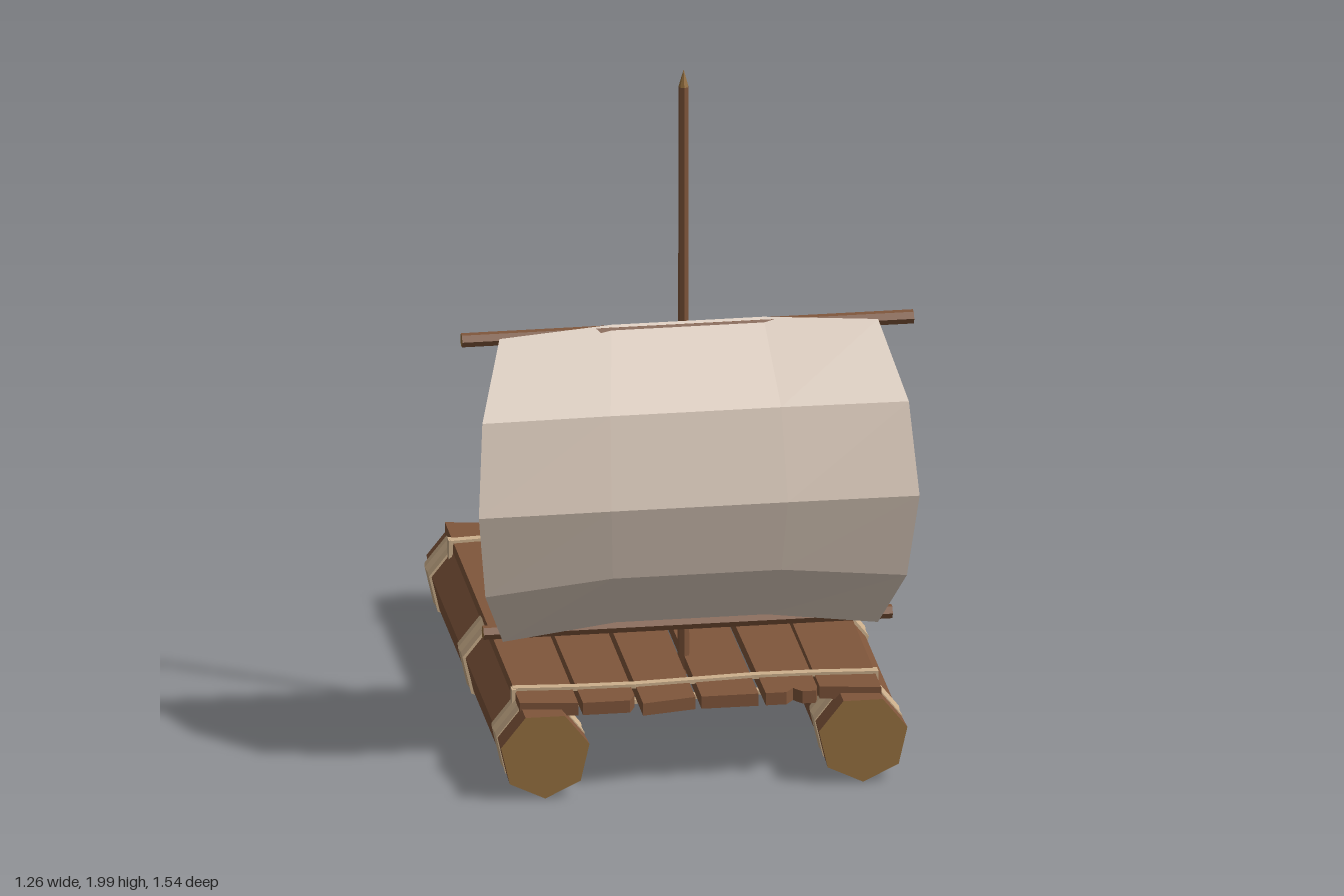
import * as THREE from 'three';

const mat = (name, color, extra = {}) => {
  const m = new THREE.MeshStandardMaterial({ color, flatShading: true, ...extra });
  m.name = name;
  return m;
};

export function createModel() {
  const raft = new THREE.Group();
  raft.name = 'raft';
  const wood = mat('wood', 0x80563b);
  const cutWood = mat('cutWood', 0x96703f);
  const rope = mat('rope', 0xcdb08c);
  const cloth = mat('sailCloth', 0xdccbbc, { side: THREE.DoubleSide });

  const add = (name, geo, material, x = 0, y = 0, z = 0, parent = raft) => {
    const mesh = new THREE.Mesh(geo, material);
    mesh.name = name;
    mesh.position.set(x, y, z);
    parent.add(mesh);
    return mesh;
  };

  // Seven-sided floating logs, flared at the front and narrowed at the back
  const rings = [[0.77, 0.127], [0.56, 0.119], [-0.62, 0.117], [-0.77, 0.104]];
  const logGeo = new THREE.CylinderGeometry(1, 1, 3, 7, 3).rotateX(Math.PI / 2);
  const lp = logGeo.attributes.position;
  for (let i = 0; i < lp.count; i++) {
    const [z, r] = rings[Math.round(1.5 - lp.getZ(i))];
    lp.setXYZ(i, lp.getX(i) * r, lp.getY(i) * r, z);
  }

  // Rope wraps around the logs
  const wrapProfile = [[0.1, -0.063], [0.123, -0.06], [0.128, -0.02], [0.125, 0.015], [0.127, 0.058], [0.1, 0.06]];
  const wrapGeo = new THREE.LatheGeometry(wrapProfile.map(([r, y]) => new THREE.Vector2(r, y)), 7)
    .rotateX(Math.PI / 2);

  for (const [side, x] of [['left', 0.435], ['right', -0.455]]) {
    const log = new THREE.Group();
    log.name = side + 'Log';
    log.position.set(x, 0.138, 0);
    raft.add(log);
    add('logBody', logGeo, [wood, cutWood, cutWood], 0, 0, 0, log);
    [0.625, -0.007, -0.645].forEach((z) => {
      const wrap = add('logWrap', wrapGeo, rope, 0, 0, z, log);
      if (z < -0.5) wrap.scale.set(0.98, 0.97, 0.95);
    });
  }

  // Deck planks as [x, z] outlines with roughly cut ends
  const planks = [
    [[-0.51, -0.735], [-0.35, -0.705], [-0.355, 0.72], [-0.515, 0.695]],
    [[-0.343, -0.735], [-0.188, -0.735], [-0.192, 0.68], [-0.21, 0.72], [-0.342, 0.72]],
    [[-0.178, -0.765], [-0.024, -0.735], [-0.027, 0.72], [-0.178, 0.75]],
    [[-0.008, -0.715], [0.146, -0.735], [0.15, 0.72], [-0.01, 0.72]],
    [[0.157, -0.69], [0.175, -0.735], [0.297, -0.735], [0.312, -0.695], [0.318, 0.69], [0.31, 0.72],
      [0.272, 0.72], [0.25, 0.69], [0.228, 0.72], [0.17, 0.72]],
    [[0.324, -0.735], [0.493, -0.735], [0.493, 0.72], [0.325, 0.69]],
  ];
  planks.forEach((outline) => {
    const shape = new THREE.Shape(outline.map(([x, z]) => new THREE.Vector2(x, -z)));
    const geo = new THREE.ExtrudeGeometry(shape, { depth: 0.036, bevelEnabled: false }).rotateX(-Math.PI / 2);
    add('deckPlank', geo, wood, 0, 0.233, 0);
  });

  // Rope lashings looped above and below the deck, wandering slightly
  const lashing = (z, flip) => {
    const geo = new THREE.BoxGeometry(1.015, 0.012, 0.024, 6, 1, 1);
    const p = geo.attributes.position;
    for (let i = 0; i < p.count; i++) {
      p.setZ(i, p.getZ(i) - 0.012 * flip * Math.sin(-p.getX(i) * 7.5));
    }
    for (const y of [0.271, 0.225]) add('deckLashing', geo, rope, -0.012, y, z);
    for (const x of [-0.518, 0.496]) {
      add('lashingEnd', new THREE.BoxGeometry(0.012, 0.055, 0.03), rope, x, 0.248, z);
    }
  };
  lashing(-0.585, 1);
  lashing(0.595, -1);

  // Mast with a sharpened tip
  add('mast', new THREE.CylinderGeometry(0.014, 0.017, 1.735, 7), wood, -0.01, 1.0825, 0.385);
  add('mastTip', new THREE.ConeGeometry(0.014, 0.05, 7), cutWood, -0.01, 1.975, 0.385);

  // Yards holding the sail
  for (const [name, y, length] of [['upperYard', 1.242, 1.265], ['lowerYard', 0.373, 1.145]]) {
    const geo = new THREE.CylinderGeometry(0.02, 0.02, length, 6).rotateZ(Math.PI / 2);
    add(name, geo, [wood, cutWood, cutWood], -0.003, y, 0.408);
  }

  // Billowing sail: rows of [edge y, middle y, edge z, middle z, half width]
  const rows = [
    [1.25, 1.266, 0.435, 0.412, 0.53],
    [1.05, 1.055, 0.562, 0.568, 0.597],
    [0.795, 0.8, 0.63, 0.64, 0.617],
    [0.54, 0.583, 0.572, 0.592, 0.59],
    [0.365, 0.41, 0.466, 0.478, 0.525],
  ];
  const sailGeo = new THREE.PlaneGeometry(1, 1, 3, 4);
  const sp = sailGeo.attributes.position;
  for (let i = 0; i < sp.count; i++) {
    const [ey, my, ez, mz, w] = rows[Math.floor(i / 4)];
    const col = i % 4;
    const edge = col === 0 || col === 3;
    const u = [-1, -0.4, 0.4, 1][col];
    sp.setXYZ(i, u * w - 0.003, edge ? ey : my, edge ? ez : mz);
  }
  sailGeo.computeVertexNormals();
  add('sail', sailGeo, cloth);

  return raft;
}
